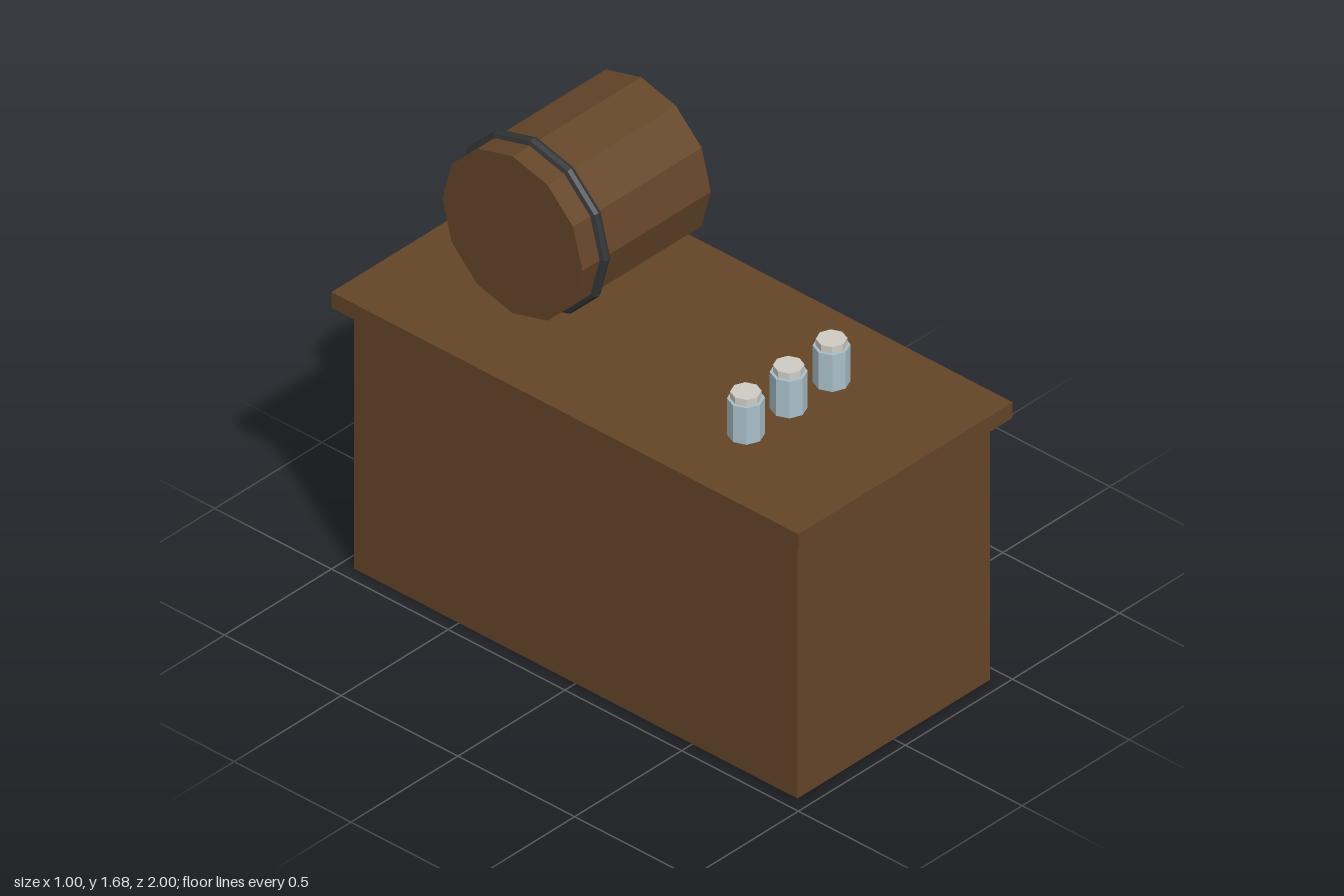
import * as THREE from 'three';

const flat = (name, color) => {
  const m = new THREE.MeshStandardMaterial({ color, flatShading: true });
  m.name = name;
  return m;
};

export function createModel() {
  const model = new THREE.Group();
  model.name = 'barCounter';
  const wood = flat('wood', 0x654528);
  const iron = flat('iron', 0x323436);
  const glass = flat('glass', 0xa9bfc9);
  const foam = flat('foam', 0xcfccc4);

  const add = (parent, name, geometry, material, x, y, z) => {
    const mesh = new THREE.Mesh(geometry, material);
    mesh.name = name;
    mesh.position.set(x, y, z);
    parent.add(mesh);
    return mesh;
  };

  // Counter with an overhanging top
  add(model, 'counterBase', new THREE.BoxGeometry(0.9, 1, 1.9), wood, 0, 0.5, 0);
  add(model, 'counterTop', new THREE.BoxGeometry(1, 0.06, 2), wood, 0, 1.03, 0);

  // Keg lying across the counter, with a single hoop
  const keg = new THREE.Group();
  keg.name = 'keg';
  keg.position.set(0.1, 1.36, -0.5);
  model.add(keg);
  add(keg, 'kegBody', new THREE.CylinderGeometry(0.3, 0.3, 0.6, 12).rotateZ(Math.PI / 2), wood, 0, 0, 0);
  add(keg, 'kegHoop', new THREE.TorusGeometry(0.3, 0.02, 8, 12).rotateY(Math.PI / 2), iron, -0.2, 0, 0);

  // Row of filled mugs
  for (const x of [-0.2, 0, 0.2]) {
    const mug = new THREE.Group();
    mug.name = 'mug';
    mug.position.set(x, 1.06, 0.5);
    model.add(mug);
    add(mug, 'mugGlass', new THREE.CylinderGeometry(0.06, 0.06, 0.14, 8), glass, 0, 0.07, 0);
    add(mug, 'mugFoam', new THREE.CylinderGeometry(0.05, 0.05, 0.025, 8), foam, 0, 0.1525, 0);
  }
  return model;
}
